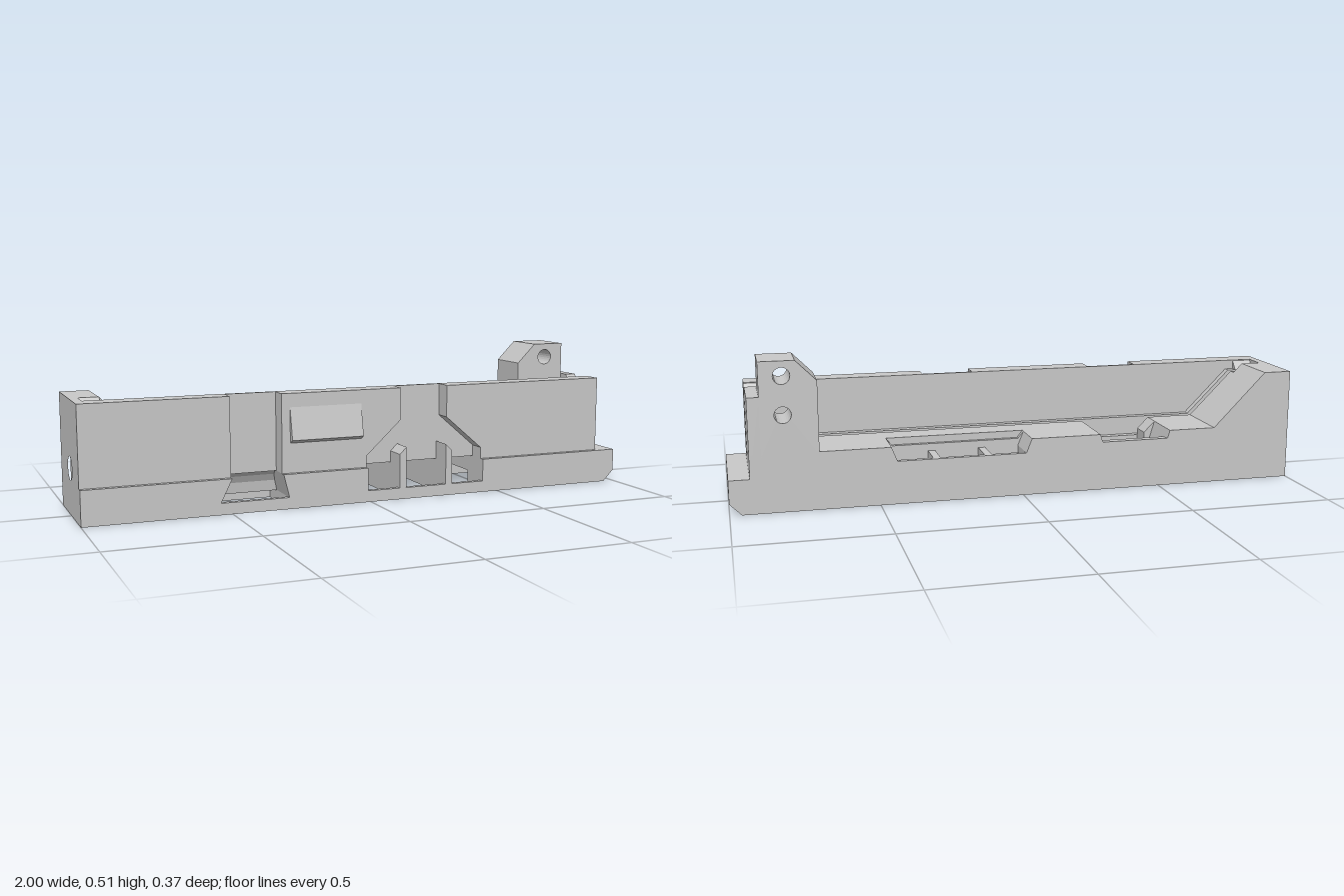
import * as THREE from 'three';

export function createModel() {
  const model = new THREE.Group();
  const grey = new THREE.MeshStandardMaterial({ color: 0xc8c8c8 });
  grey.name = 'light grey';

  const outline = (pts) => new THREE.Shape(pts.map(([a, b]) => new THREE.Vector2(a, b)));
  const addHole = (shape, x, y, r) => {
    const hole = new THREE.Path();
    hole.absarc(x, y, r, 0, Math.PI * 2, true);
    shape.holes.push(hole);
  };
  const add = (name, geo) => {
    const mesh = new THREE.Mesh(geo, grey);
    mesh.name = name;
    model.add(mesh);
  };
  // Side profile (x, y) swept from z0 to z1
  const sweepZ = (name, z0, z1, shape) => {
    const s = Array.isArray(shape) ? outline(shape) : shape;
    const geo = new THREE.ExtrudeGeometry(s, { depth: z1 - z0, bevelEnabled: false, curveSegments: 12 });
    add(name, geo.translate(0, 0, z0));
  };
  // Cross-section (z, y) swept from x0 to x1
  const sweepX = (name, x0, x1, pts, hole) => {
    const s = outline(pts.map(([z, y]) => [-z, y]));
    if (hole) addHole(s, -hole[0], hole[1], hole[2]);
    const geo = new THREE.ExtrudeGeometry(s, { depth: x1 - x0, bevelEnabled: false, curveSegments: 12 });
    add(name, geo.rotateY(Math.PI / 2).translate(x0, 0, 0));
  };

  // Shared stretches of the side profile
  const L = -0.97, BACK = -0.183;
  const nose = [[0.96, 0], [1, 0.04], [1, 0.12], [0.93, 0.12]];
  const leftRamp = [[-0.71, 0.2], [-0.9, 0.393], [L, 0.393]];
  const lowRamp = [[-0.71, 0.2], [-0.87, 0.36], [L, 0.36]];
  const dip = [[-0.28, 0.2], [-0.31, 0.1], [-0.51, 0.1], [-0.54, 0.2]];
  const dovetail = [[-0.54, 0], [-0.54, 0.04], [-0.5, 0.12], [-0.32, 0.12], [-0.3, 0.04], [-0.3, 0]];
  const bay = [[-0.01, 0], [-0.01, 0.12], [0.44, 0.12], [0.44, 0.06]];
  const closedBay = [[-0.01, 0], [-0.01, 0.12], [0.44, 0.12], [0.44, 0]];
  const pocket = [[0.86, 0.06], [0.86, 0]];
  const shortPocket = [[0.77, 0.06], [0.77, 0]];
  const deckEnd = [0.93, 0.2];

  // Back wall with lowered sills
  sweepZ('backWall', BACK, -0.165, [[L, 0], ...nose, deckEnd, [0.46, 0.2], [0.44, 0.15],
    [-0.01, 0.15], [-0.03, 0.2], ...dip, ...leftRamp]);

  // Deck beside the open windows
  sweepZ('deckLeft', -0.165, -0.065, [[L, 0], [-0.01, 0], [-0.01, 0.15], [-0.03, 0.2], ...dip, ...leftRamp]);
  sweepZ('deckRight', -0.165, -0.065, [[0.44, 0.06], ...shortPocket, ...nose, deckEnd, [0.46, 0.2], [0.44, 0.15]]);
  sweepZ('windowStep', -0.065, -0.05, [[L, 0], ...bay, ...shortPocket, ...nose, deckEnd, [0.46, 0.2], [0.44, 0.175],
    [-0.01, 0.175], [-0.03, 0.2], ...dip, ...leftRamp]);
  sweepZ('deckMiddle', -0.05, -0.03, [[L, 0], ...bay, ...shortPocket, ...nose, deckEnd, ...dip, ...leftRamp]);

  // Curved chute leading to the square floor opening
  sweepX('chute', -0.535, -0.285, [[BACK, 0.09], [BACK, 0.172], [-0.14, 0.168], [-0.1, 0.157],
    [-0.065, 0.138], [-0.04, 0.115], [-0.03, 0.09]]);

  // Deck split by the square floor opening
  [[-0.03, 0.01, leftRamp], [0.01, 0.04, lowRamp]].forEach(([z0, z1, ramp]) => {
    sweepZ('frontDeckLeft', z0, z1, [[L, 0], [-0.54, 0], [-0.54, 0.04], [-0.5, 0.12], [-0.5, 0.16], [-0.54, 0.2], ...ramp]);
    sweepZ('frontDeckRight', z0, z1, [[-0.3, 0], ...bay, ...pocket, ...nose, deckEnd, [-0.28, 0.2], [-0.32, 0.16],
      [-0.32, 0.12], [-0.3, 0.04]]);
  });
  sweepX('blockChamfer', L, -0.9, [[0.01, 0.36], [0.04, 0.36], [0.01, 0.393]]);

  // Guide groove with a small drain opening
  sweepZ('grooveFloor', 0.04, 0.065, [[L, 0], ...dovetail, ...bay, [0.78, 0.06], [0.78, 0.135], [L, 0.135]]);
  sweepZ('grooveEnd', 0.04, 0.065, [[0.83, 0.06], ...pocket, ...nose, [0.93, 0.135], [0.83, 0.135]]);

  // Ledge between groove and wall, rising to a guide block at each end
  sweepZ('ledge', 0.065, 0.09, [[L, 0], ...dovetail, ...closedBay, ...nose, [0.93, 0.36], [0.7, 0.36], [0.7, 0.2], ...lowRamp]);
  [[L, -0.9], [0.7, 0.93]].forEach(([x0, x1]) =>
    sweepX('guideChamfer', x0, x1, [[0.065, 0.36], [0.09, 0.36], [0.09, 0.39]]));

  // Rounded underside beneath the bridge
  sweepX('bridgeFillet', -0.52, -0.3, [[0.04, 0.04], [0.04, 0.125], [0.1, 0.125], [0.1, 0.12], [0.08, 0.116],
    [0.062, 0.102], [0.049, 0.078], [0.044, 0.04]]);

  // Thin inner skin of the front wall
  sweepZ('innerWall', 0.09, 0.1, [[L, 0], ...dovetail, ...closedBay, ...nose, [0.93, 0.393], [L, 0.393]]);

  // Outer front panels, separated by the two recesses
  sweepZ('frontPanelLeft', 0.1, 0.162, [[L, 0], [-0.54, 0], [-0.54, 0.04], [-0.5, 0.12], [-0.5, 0.393], [L, 0.393]]);
  sweepZ('frontPanelMiddle', 0.1, 0.162, [[-0.3, 0], [-0.01, 0], [-0.01, 0.16], [0.12, 0.28], [0.12, 0.393],
    [-0.32, 0.393], [-0.32, 0.12], [-0.3, 0.04]]);
  sweepZ('frontPanelRight', 0.1, 0.162, [[0.44, 0], ...nose, [0.93, 0.393], [0.3, 0.393], [0.3, 0.28], [0.44, 0.16]]);

  // Lower flange with openings
  sweepZ('frontFlange', 0.162, 0.18, [[L, 0], [0.96, 0], [1, 0.04], [1, 0.12], [0.44, 0.12], [0.44, 0.04], [-0.01, 0.04],
    [-0.01, 0.12], [-0.32, 0.12], [-0.3, 0.04], [-0.54, 0.04], [-0.5, 0.12], [L, 0.12]]);

  // Ribs across the window bay, mirrored about its centre
  [-1, 1].forEach((s) => {
    const a = 0.2125 + s * 0.0775, b = 0.2125 + s * 0.1025;
    sweepZ('bayRib', -0.165, 0.1, [[a, 0], [b, 0], [b, 0.15], [a, 0.15]]);
    sweepZ('ribFront', 0.1, 0.18, [[a, 0], [b, 0], [b, 0.16], [a, 0.185]]);
  });

  // Wedge clip on the front
  sweepX('clip', -0.29, -0.03, [[0.16, 0.355], [0.185, 0.235], [0.16, 0.222]]);

  // Left end plate with a round socket
  sweepX('endPlate', -1, L, [[BACK, 0], [0.18, 0], [0.18, 0.12], [0.162, 0.12], [0.162, 0.393], [BACK, 0.393]], [0, 0.16, 0.04]);

  // Right end slab and drilled post
  sweepX('endSlab', 0.89, 0.93, [[BACK, 0.12], [0.04, 0.12], [0.04, 0.36], [0.01, 0.393], [BACK, 0.393]]);
  const post = outline([[0.7, 0.19], [0.89, 0.19], [0.89, 0.51], [0.77, 0.51], [0.7, 0.44]]);
  [0.46, 0.33].forEach((y) => addHole(post, 0.815, y, 0.028));
  sweepZ('post', BACK, -0.027, post);

  return model;
}
